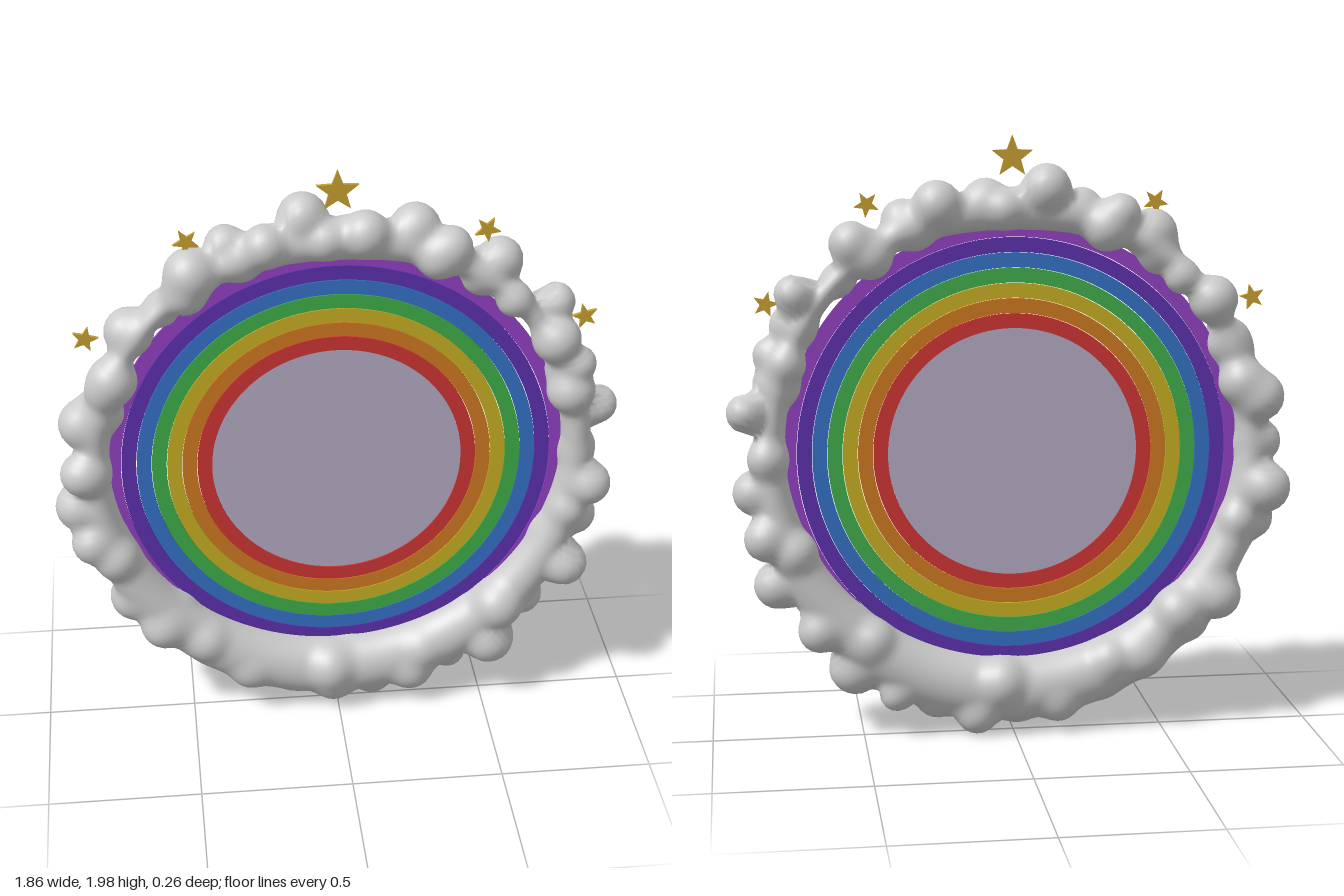
import * as THREE from 'three';

const CY = 0.968; // height of the portal centre
const { degToRad } = THREE.MathUtils;

function puff(degrees, distance, r, z) {
  const a = degToRad(degrees);
  return { x: distance * Math.cos(a), y: distance * Math.sin(a), z, r };
}

// Rim puffs: angle counter-clockwise from +x, outermost reach, radius
const RIM = [
  [10, 0.945, 0.065], [23, 0.91, 0.06], [37, 0.95, 0.065], [31, 0.905, 0.08],
  [53, 0.94, 0.075], [65, 0.91, 0.07], [73, 0.93, 0.08], [84, 0.90, 0.075],
  [97, 0.95, 0.08], [106, 0.895, 0.07], [114, 0.92, 0.065], [123, 0.93, 0.085],
  [143, 0.905, 0.08], [154, 0.88, 0.08], [168, 0.92, 0.085], [179, 0.905, 0.075],
  [189, 0.94, 0.085], [197, 0.92, 0.075], [216, 0.93, 0.085], [225, 0.915, 0.085],
  [238, 0.90, 0.085], [249, 0.915, 0.08], [260, 0.93, 0.075], [269, 0.93, 0.08],
  [278, 0.957, 0.075], [287, 0.94, 0.085], [296, 0.95, 0.06], [306, 0.98, 0.09],
  [318, 0.935, 0.075], [331, 0.965, 0.08], [342, 0.925, 0.075], [352, 0.925, 0.075],
];
const PUFFS = RIM.map(([deg, reach, r], i) => puff(deg, reach - r, r, i % 2 ? 0.025 : -0.025));
// Filler puffs along the inner half of the wreath, alternating front and back
for (let i = 0; i < 26; i++) {
  const deg = (i * 360) / 26 + 5 * Math.sin(i * 2.4);
  const low = Math.max(0, -Math.sin(degToRad(deg)));
  const z = (i % 2 ? 1 : -1) * (0.022 + 0.022 * low);
  PUFFS.push(puff(deg, 0.80 - 0.02 * low + 0.012 * Math.sin(i * 3.1), 0.068 + 0.012 * Math.sin(i * 1.7) + 0.01 * low, z));
}

function smoothMin(a, b, k) {
  const h = Math.max(k - Math.abs(a - b), 0) / k;
  return Math.min(a, b) - h * h * k * 0.25;
}

// A swept tube blended with the puffs, sampled along rays from its core circle
function cloudGeometry(segments = 280, sides = 44) {
  const pos = [], index = [];
  for (let i = 0; i < segments; i++) {
    const a = (i / segments) * Math.PI * 2, ca = Math.cos(a), sa = Math.sin(a);
    // the wreath is slimmer above and fuller below
    const inner = 0.745 + (sa > 0 ? 0.03 * Math.sin(2 * a) ** 2 - 0.015 * sa ** 8 : 0.05 * sa);
    const outer = 0.845 + 0.045 * Math.max(0, -sa) + 0.02 * sa ** 4;
    const core = (inner + outer) / 2, w = (outer - inner) / 2;
    const depth = 0.06 + 0.04 * Math.max(0, -sa);
    const near = PUFFS.filter((p) => Math.hypot(p.x - core * ca, p.y - core * sa) < 0.3);
    for (let j = 0; j < sides; j++) {
      const b = (j / sides) * Math.PI * 2, cb = Math.cos(b), sb = Math.sin(b);
      const field = (s) => {
        const rho = core + s * cb, z = s * sb;
        let d = (Math.hypot((s * cb) / w, z / depth) - 1) * Math.min(w, depth);
        for (const p of near) {
          d = smoothMin(d, Math.hypot(rho * ca - p.x, rho * sa - p.y, z - p.z) - p.r, 0.025);
        }
        return d;
      };
      let hi = 0.24;
      while (hi > 0.02 && field(hi) > 0) hi -= 0.006;
      let lo = hi;
      hi += 0.006;
      for (let n = 0; n < 8; n++) {
        const mid = (lo + hi) / 2;
        if (field(mid) > 0) hi = mid; else lo = mid;
      }
      const rho = core + lo * cb;
      pos.push(rho * ca, rho * sa, lo * sb);
      const i2 = (i + 1) % segments, j2 = (j + 1) % sides;
      const p = i * sides + j, q = i2 * sides + j, r = i2 * sides + j2, t = i * sides + j2;
      index.push(p, q, r, p, r, t);
    }
  }
  const geo = new THREE.BufferGeometry();
  geo.setAttribute('position', new THREE.Float32BufferAttribute(pos, 3));
  geo.setIndex(index);
  geo.computeVertexNormals();
  return geo;
}

// Thin flat ring with real thickness
function bandGeometry(inner, outer) {
  const shape = new THREE.Shape().absarc(0, 0, outer, 0, Math.PI * 2);
  shape.holes.push(new THREE.Path().absarc(0, 0, inner, 0, Math.PI * 2, true));
  return new THREE.ExtrudeGeometry(shape, { depth: 0.01, bevelEnabled: false, curveSegments: 96 })
    .translate(0, 0, -0.005);
}

function starGeometry(radius) {
  const shape = new THREE.Shape();
  for (let i = 0; i < 10; i++) {
    const r = i % 2 ? radius * 0.42 : radius, a = Math.PI / 2 + (i * Math.PI) / 5;
    shape[i ? 'lineTo' : 'moveTo'](r * Math.cos(a), r * Math.sin(a));
  }
  shape.closePath();
  return new THREE.ExtrudeGeometry(shape, { depth: 0.012, bevelEnabled: false }).translate(0, 0, -0.006);
}

export function createModel() {
  const model = new THREE.Group();
  model.name = 'rainbowPortal';
  const add = (name, geometry, material, x = 0, y = 0, z = 0) => {
    const mesh = new THREE.Mesh(geometry, material);
    mesh.name = name;
    mesh.position.set(x, CY + y, z);
    model.add(mesh);
    return mesh;
  };

  // Centre pane and thin rainbow bands with hairline gaps
  add('centrePane', new THREE.CircleGeometry(0.411, 96),
    new THREE.MeshStandardMaterial({ color: 0xb4acc4, side: THREE.DoubleSide }));
  const bands = [
    ['redBand', 0xd03434], ['orangeBand', 0xd07a20], ['yellowBand', 0xc8ae22],
    ['greenBand', 0x3fae4a], ['blueBand', 0x3572c6], ['indigoBand', 0x5e30ae],
    ['violetBand', 0x9342c4],
  ];
  bands.forEach(([name, color], i) => {
    const r = 0.411 + i * 0.0495;
    add(name, bandGeometry(r, r + 0.0475), new THREE.MeshStandardMaterial({ color }));
  });

  // Cloud wreath
  add('cloudWreath', cloudGeometry(), new THREE.MeshStandardMaterial({ color: 0xcccccc }));

  // Gold stars fanned over the top
  const gold = new THREE.MeshStandardMaterial({ color: 0xc9a032 });
  add('topStar', starGeometry(0.07), gold, 0, 0.962, 0.016);
  for (const side of [-1, 1]) {
    for (const [name, tilt] of [['upperStar', 30], ['lowerStar', 58]]) {
      const a = degToRad(tilt) * side;
      const star = add(name, starGeometry(0.043), gold, 0.94 * Math.sin(a), 0.94 * Math.cos(a), 0.016);
      star.rotation.z = -a;
    }
  }
  return model;
}
